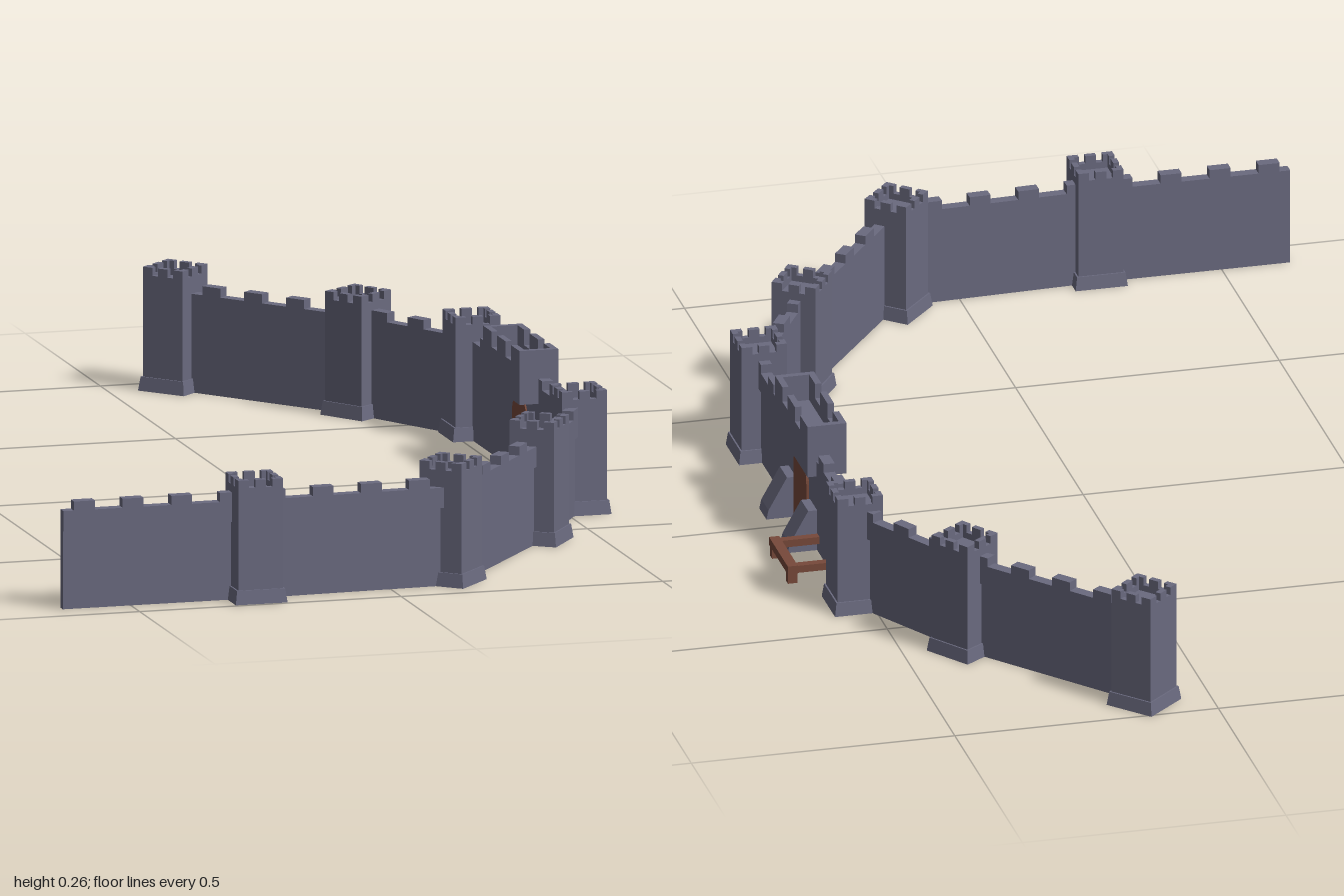
import * as THREE from 'three';

const stone = new THREE.MeshStandardMaterial({ color: 0x6a6a7f });
stone.name = 'slate stone';
const wood = new THREE.MeshStandardMaterial({ color: 0x77493a });
wood.name = 'brown wood';

// Box given by its limits on each axis
function block(parent, name, x0, x1, y0, y1, z0, z1, mat = stone) {
  const mesh = new THREE.Mesh(new THREE.BoxGeometry(x1 - x0, y1 - y0, z1 - z0), mat);
  mesh.position.set((x0 + x1) / 2, (y0 + y1) / 2, (z0 + z1) / 2);
  mesh.name = name;
  parent.add(mesh);
  return mesh;
}

// Hollow rim with merlons round a w by d platform
function battlement(parent, w, d, y0, y1, y2, t, nx, nz, fill) {
  const x = w / 2, z = d / 2;
  for (const s of [-1, 1]) {
    const xa = s > 0 ? x - t : -x, za = s > 0 ? z - t : -z;
    block(parent, 'rim', -x, x, y0, y1, za, za + t);
    block(parent, 'rim', xa, xa + t, y0, y1, -z + t, z - t);
    const px = w / (nx - 1 + fill), pz = d / (nz - 1 + fill);
    for (let i = 0; i < nx; i++)
      block(parent, 'merlon', -x + i * px, -x + (i + fill) * px, y1, y2, za, za + t);
    for (let i = 0; i < nz; i++) {
      const a = Math.max(-z + i * pz, -z + t), b = Math.min(-z + (i + fill) * pz, z - t);
      block(parent, 'merlon', xa, xa + t, y1, y2, a, b);
    }
  }
}

// Square tower with a flared foot
function tower(x, z, angle) {
  const g = new THREE.Group();
  g.name = 'tower';
  const foot = new THREE.CylinderGeometry(0.092 / Math.SQRT2, 0.099 / Math.SQRT2, 0.026, 4, 1).toNonIndexed();
  foot.rotateY(Math.PI / 4);
  foot.computeVertexNormals();
  const base = new THREE.Mesh(foot, stone);
  base.position.y = 0.013;
  base.name = 'towerFoot';
  g.add(base);
  block(g, 'towerBody', -0.043, 0.043, 0.026, 0.205, -0.043, 0.043);
  battlement(g, 0.086, 0.086, 0.205, 0.217, 0.232, 0.011, 3, 3, 0.62);
  g.position.set(x, 0, z);
  g.rotation.y = angle;
  return g;
}

// Wall between two points; local +z is the outer side
function wall([ax, az], [bx, bz]) {
  const g = new THREE.Group();
  g.name = 'wall';
  const len = Math.hypot(bx - ax, bz - az);
  block(g, 'wallBody', 0, len, 0, 0.147, -0.01, 0.006);
  block(g, 'parapet', 0, len, 0.147, 0.185, -0.01, 0.011);
  for (let c = 0.04; c < len - 0.02; c += 0.093)
    block(g, 'merlon', c - 0.02, c + 0.02, 0.185, 0.202, -0.01, 0.011);
  g.position.set(ax, 0, az);
  g.rotation.y = -Math.atan2(bz - az, bx - ax);
  return g;
}

function gatehouse() {
  const g = new THREE.Group();
  g.name = 'gatehouse';
  // Overhanging head
  const head = new THREE.Group();
  head.name = 'gateHead';
  block(head, 'headBody', -0.037, 0.037, 0.155, 0.205, -0.121, 0.121);
  battlement(head, 0.074, 0.242, 0.205, 0.227, 0.256, 0.012, 1, 3, 0.6);
  head.position.set(0.521, 0, -0.016);
  g.add(head);

  // Arched door showing on both faces of the wall
  const r = 0.048, spring = 0.105;
  const arch = new THREE.Shape();
  arch.moveTo(-r, 0);
  arch.lineTo(r, 0);
  arch.lineTo(r, spring);
  arch.absarc(0, spring, r, 0, Math.PI, false);
  arch.lineTo(-r, 0);
  const door = new THREE.Mesh(
    new THREE.ExtrudeGeometry(arch, { depth: 0.024, bevelEnabled: false, curveSegments: 10 }), wood);
  door.rotation.y = Math.PI / 2;
  door.position.set(0.517, 0, -0.013);
  door.name = 'door';
  g.add(door);

  // Sloping buttresses beside the door
  const side = new THREE.Shape([[0.53, 0], [0.592, 0], [0.588, 0.018], [0.553, 0.08], [0.53, 0.08]]
    .map(p => new THREE.Vector2(...p)));
  for (const z of [0.035, -0.122]) {
    const b = new THREE.Mesh(new THREE.ExtrudeGeometry(side, { depth: 0.053, bevelEnabled: false }), stone);
    b.position.z = z;
    b.name = 'buttress';
    g.add(b);
  }

  // Wooden rail standing off the wall
  const rail = new THREE.Group();
  rail.name = 'hitchingRail';
  for (const z of [-0.257, -0.14]) {
    block(rail, 'railPost', 0.608, 0.626, 0, 0.022, z, z + 0.016, wood);
    block(rail, 'sideRail', 0.535, 0.61, 0.02, 0.034, z, z + 0.016, wood);
  }
  block(rail, 'topRail', 0.608, 0.627, 0.02, 0.036, -0.26, -0.121, wood);
  g.add(rail);
  return g;
}

export function createModel() {
  const model = new THREE.Group();
  model.name = 'castleWall';
  const deg = Math.PI / 180;

  const towers = [
    [-0.265, 0.945, 0], [0.125, 0.895, 48], [0.385, 0.58, 55], [0.53, 0.335, 0],
    [0.53, -0.375, 0], [0.385, -0.625, -55], [0.125, -0.937, -48],
  ];
  for (const [x, z, a] of towers) model.add(tower(x, z, a * deg));

  const path = [
    [-0.63, 0.935], [-0.265, 0.935], [0.125, 0.92], [0.385, 0.58], [0.53, 0.335],
    [0.53, -0.375], [0.385, -0.625], [0.125, -0.937],
  ];
  for (let i = 0; i + 1 < path.length; i++) model.add(wall(path[i], path[i + 1]));

  model.add(gatehouse());
  return model;
}
